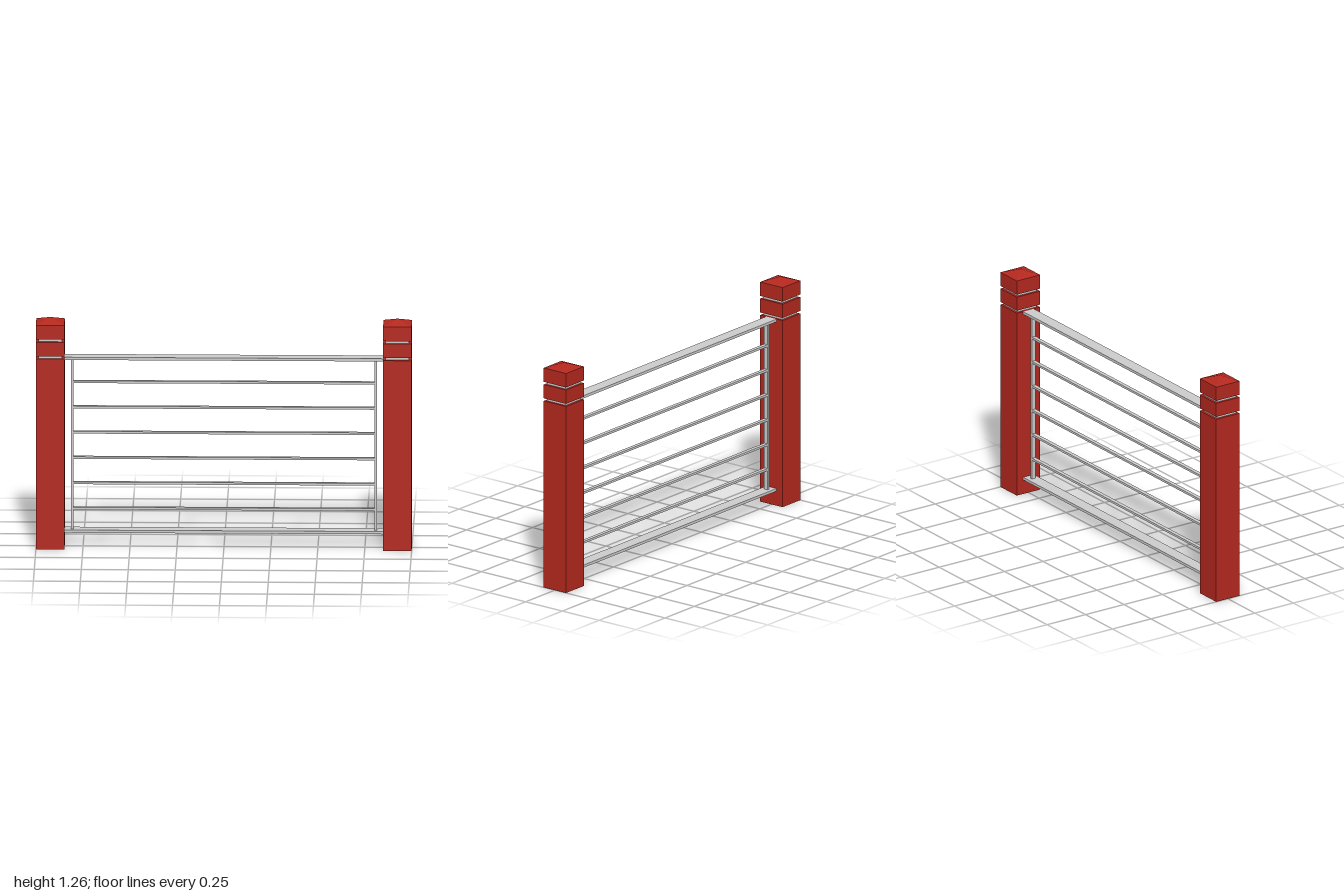
import * as THREE from 'three';

const red = new THREE.MeshStandardMaterial({ color: 0xb3281e, flatShading: true });
const grey = new THREE.MeshStandardMaterial({ color: 0xcccccc, flatShading: true });

// Box given by its width, depth and bottom/top heights
function block(name, width, depth, y0, y1, material, x = 0) {
  const mesh = new THREE.Mesh(new THREE.BoxGeometry(width, y1 - y0, depth), material);
  mesh.position.set(x, (y0 + y1) / 2, 0);
  mesh.name = name;
  return mesh;
}

// Square post with two recessed bands and a pyramid cap
function createPost(name, x) {
  const post = new THREE.Group();
  const w = 0.152, neck = 0.125;
  post.add(
    block('postShaft', w, w, 0, 1.046, red),
    block('lowerBand', neck, neck, 1.046, 1.061, grey),
    block('middleBlock', w, w, 1.061, 1.138, red),
    block('upperBand', neck, neck, 1.138, 1.153, grey),
    block('topBlock', w, w, 1.153, 1.231, red)
  );
  const capGeometry = new THREE.ConeGeometry(w / Math.SQRT2, 0.027, 4, 1, true);
  capGeometry.rotateY(Math.PI / 4);
  const cap = new THREE.Mesh(capGeometry, red);
  cap.position.y = 1.2445;
  cap.name = 'pyramidCap';
  post.add(cap);
  post.position.x = x;
  post.name = name;
  return post;
}

export function createModel() {
  const model = new THREE.Group();
  model.name = 'railingPanel';

  model.add(createPost('leftPost', 0.924), createPost('rightPost', -0.924));

  // Wide flat rails reaching between the posts
  model.add(block('topRail', 1.696, 0.07, 1.031, 1.046, grey));
  model.add(block('bottomRail', 1.696, 0.07, 0.081, 0.096, grey));

  // Slim uprights just inside the posts
  for (const side of [1, -1]) {
    model.add(block(side > 0 ? 'leftUpright' : 'rightUpright', 0.014, 0.022, 0.096, 1.031, grey, side * 0.807));
  }

  // Evenly spaced thin bars between the uprights
  for (let i = 0; i < 6; i++) {
    const y = 0.209 + i * 0.139;
    model.add(block('crossBar' + (i + 1), 1.6, 0.022, y - 0.006, y + 0.006, grey));
  }
  return model;
}
